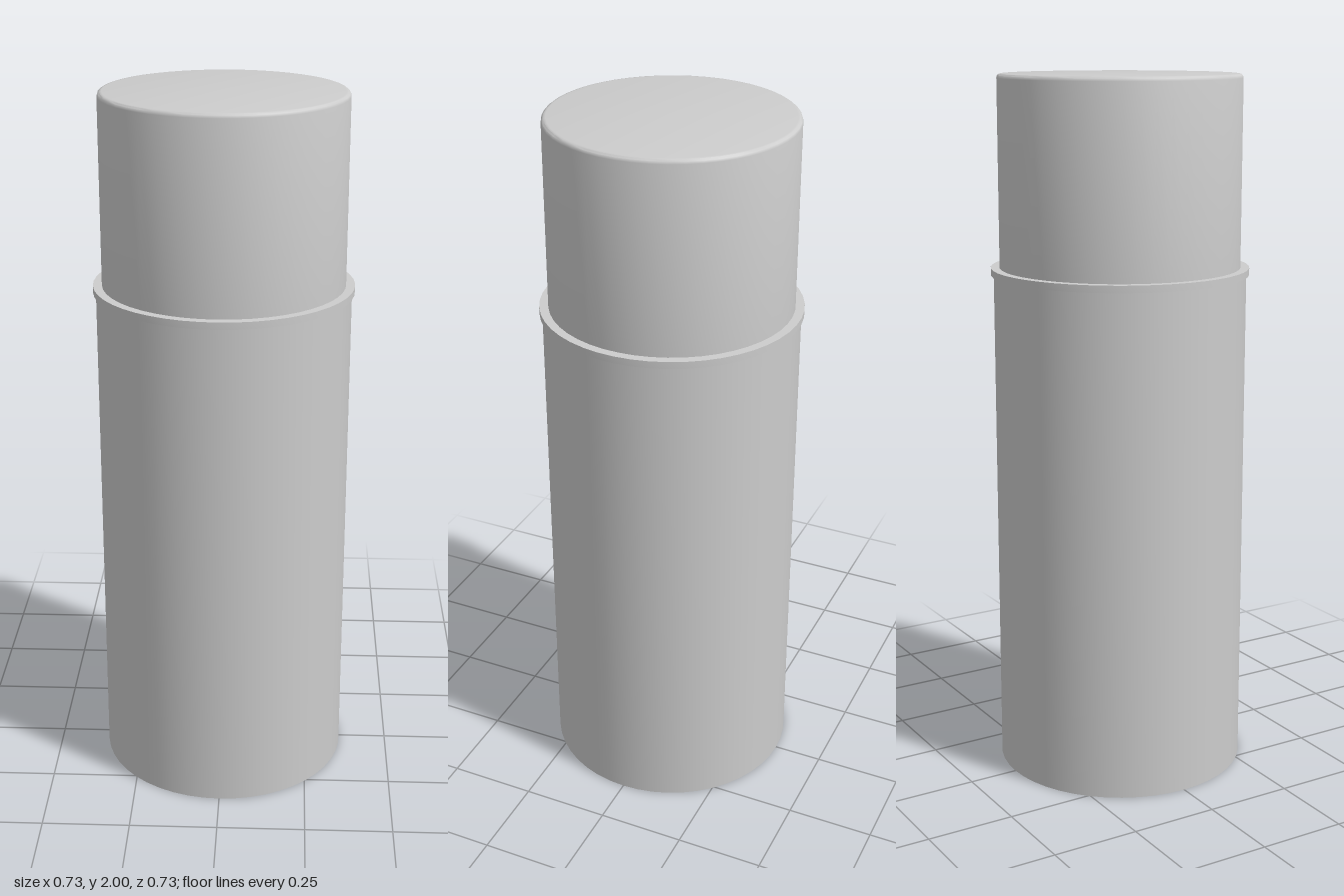
import * as THREE from 'three';
import { toCreasedNormals } from 'three/addons/utils/BufferGeometryUtils.js';

export function createModel() {
  const group = new THREE.Group();
  const gray = new THREE.MeshStandardMaterial({ color: 0xcccccc });
  gray.name = 'lightGray';

  // Turns a [radius, height] profile, listed bottom to top, into a solid
  const turned = (name, profile, crease) => {
    const points = profile.map(([r, y]) => new THREE.Vector2(r, y));
    const geometry = toCreasedNormals(new THREE.LatheGeometry(points, 48), crease);
    const mesh = new THREE.Mesh(geometry, gray);
    mesh.name = name;
    group.add(mesh);
  };

  // Tall main cylinder
  turned('body', [[0, 0], [0.358, 0], [0.358, 1.447], [0, 1.447]], 0.6);

  // Thin projecting rim around the top of the body
  turned('collar', [[0.33, 1.445], [0.366, 1.445], [0.366, 1.465], [0.33, 1.465]], 0.6);

  // Narrower lid with a slightly softened top edge
  turned('cap', [
    [0, 1.44], [0.341, 1.44], [0.341, 1.988],
    [0.339, 1.995], [0.334, 1.999], [0.328, 2], [0, 2],
  ], 0.9);

  return group;
}
